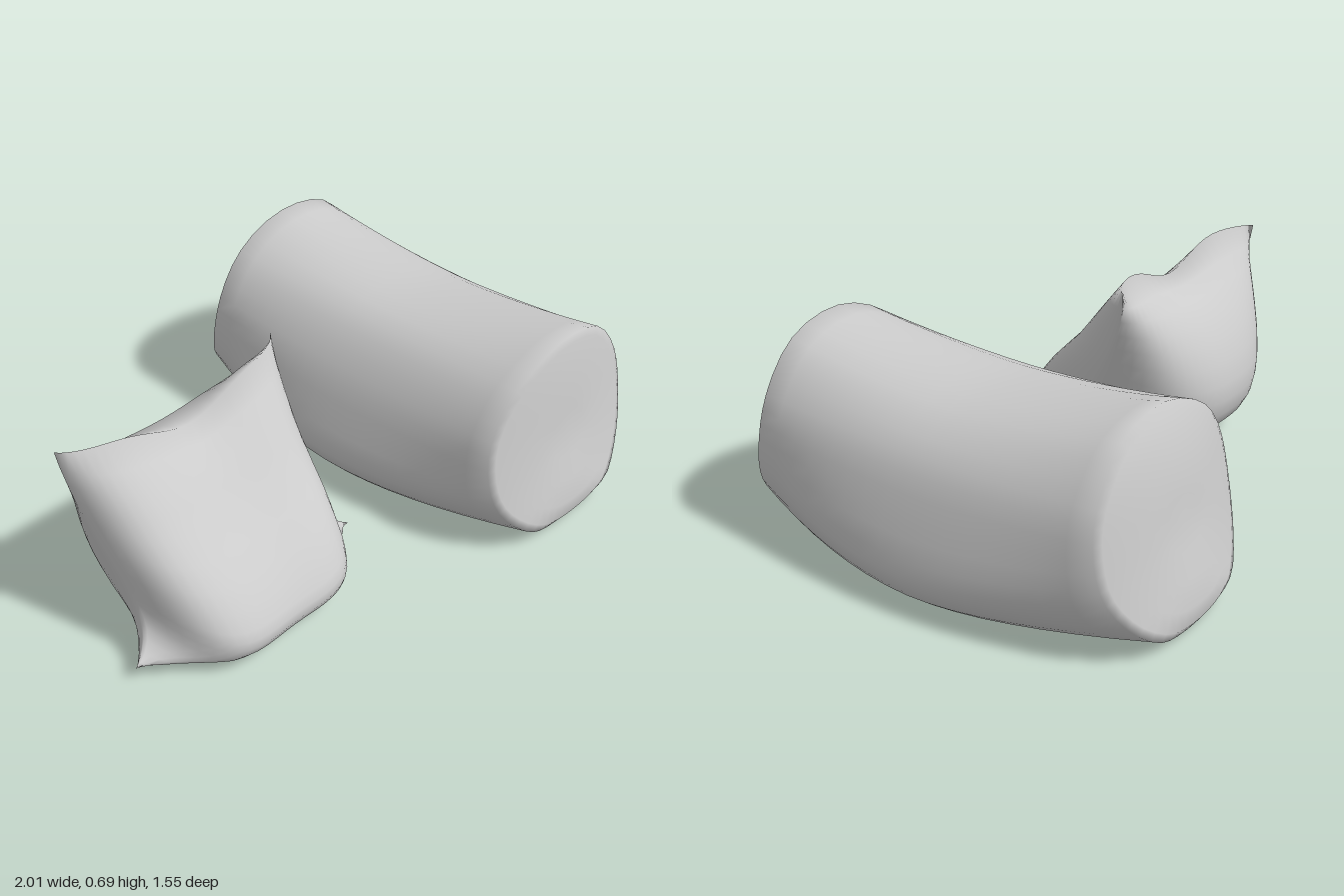
import * as THREE from 'three';
import { mergeVertices } from 'three/addons/utils/BufferGeometryUtils.js';

const material = new THREE.MeshStandardMaterial({ color: 0xcccccc });
const lerp = THREE.MathUtils.lerp;

// Smooth skin over closed rings: point(i, j) gives [x, y, z], j runs around the ring
function loft(name, rings, sides, point) {
  const pos = [], index = [];
  for (let i = 0; i < rings; i++)
    for (let j = 0; j < sides; j++) pos.push(...point(i, j));
  for (let i = 0; i < rings - 1; i++)
    for (let j = 0; j < sides; j++) {
      const k = (j + 1) % sides;
      const a = i * sides + j, b = i * sides + k, c = a + sides, d = b + sides;
      index.push(a, b, c, b, d, c);
    }
  let geo = new THREE.BufferGeometry();
  geo.setAttribute('position', new THREE.Float32BufferAttribute(pos, 3));
  geo.setIndex(index);
  geo = mergeVertices(geo, 1e-4);
  geo.computeVertexNormals();
  const mesh = new THREE.Mesh(geo, material);
  mesh.name = name;
  return mesh;
}

const curve = (pts, closed) =>
  new THREE.CatmullRomCurve3(pts.map(([a, b]) => new THREE.Vector3(a, b, 0)), closed, 'centripetal');

// Long bolster: sagging middle section blended into rounder ends, with soft caps
function bolster() {
  const middle = curve([[0.25, 0.01], [0.55, 0], [0.88, 0.005], [0.97, 0.05], [1, 0.13], [0.955, 0.32], [0.88, 0.48],
    [0.74, 0.58], [0.52, 0.61], [0.33, 0.57], [0.2, 0.43], [0.13, 0.27], [0.095, 0.13], [0.14, 0.05]], true);
  const end = curve([[0.42, 0.025], [0.55, 0.015], [0.69, 0.03], [0.81, 0.1], [0.89, 0.22], [0.905, 0.36], [0.87, 0.5],
    [0.74, 0.65], [0.52, 0.69], [0.31, 0.6], [0.2, 0.45], [0.18, 0.3], [0.21, 0.18], [0.3, 0.08]], true);
  const cx = 0.55, cy = 0.34, sides = 42;
  // Half length at a point of the end: longer low down and in the middle, the back more tapered
  const reach = (x, y, isBack) => 0.797 - 0.12 * y / 0.69 - (isBack ? 0.06 : 0.02) * (y / 0.69) ** 6
    - (isBack ? 0.11 : 0.08) * ((x - cx) / 0.38) ** 2 - 0.06 * (Math.max(0, 0.08 - y) / 0.08) ** 2;
  // Each ring: [position along the length, scale of the section]
  const caps = [0, 0.25, 0.5, 0.75, 0.92];
  const rings = caps.map(k => [-1, k]);
  for (let i = 0; i <= 16; i++) rings.push([-1 + i / 8, 1]);
  rings.push(...caps.slice().reverse().map(k => [1, k]));
  return loft('bolster', rings.length, sides, (i, j) => {
    const [s, k] = rings[i];
    const m = middle.getPoint(j / sides), e = end.getPoint(j / sides);
    const x = cx + k * (lerp(m.x, e.x, s * s) - cx);
    const y = cy + k * (lerp(m.y, e.y, Math.abs(s) ** 1.6) - cy);
    return [x, Math.max(0, y), s * (reach(x, y, s < 0) - 0.03 * (1 - k))];
  });
}

// Square cushion leaning back: full centre profile thinning to a seam with four blunt corners
function cushion() {
  const front = curve([[0.04, 0.61], [0.15, 0.52], [0.26, 0.4], [0.4, 0.27], [0.49, 0.15], [0.505, 0.09],
    [0.47, 0.04], [0.38, 0.025], [0.25, 0.02]], false);
  const back = curve([[0.04, 0.61], [-0.1, 0.55], [-0.2, 0.42], [-0.255, 0.27], [-0.25, 0.15], [-0.18, 0.06],
    [0, 0.025], [0.12, 0.02], [0.25, 0.02]], false);
  const half = 16, columns = 29;
  return loft('cushion', columns, half * 2, (i, j) => {
    const u = Math.sin((i / (columns - 1) - 0.5) * Math.PI);
    const isFront = j <= half;
    const t = isFront ? j / half : 2 - j / half;
    const c = (isFront ? front : back).getPoint(t);
    // Position down the side seam, gathering towards the lower corners
    const e = 1 - (1 - t) ** 1.5, q = 1 - 2 * e;
    const width = 0.395 + 0.045 * q + 0.12 * Math.max(-q, 0) ** 6;
    // Fullness across the width; the top edge dips only near its middle
    const full = (1 - Math.abs(u) ** (isFront ? 3.5 : 2.3)) ** 0.75;
    const dip = lerp((1 - Math.abs(u) ** 3.5) ** 0.7, (1 - u * u) ** 6, Math.max(1 - 2 * t, 0) ** 3);
    // Stuffing that rounds out the sides and corners
    const puff = (isFront ? 0.09 : -0.09) * Math.sqrt(Math.max(0, Math.sin(Math.PI * t))) * u * u * (1 - u ** 8);
    const y = lerp(lerp(0.69, 0.06, e), c.y, dip);
    const z = lerp(lerp(-0.055, 0.28, e ** 1.6), c.x, full) + puff;
    return [-0.535 + u * width, y, z];
  });
}

export function createModel() {
  const group = new THREE.Group();
  group.name = 'pillows';
  group.add(bolster(), cushion());
  return group;
}
